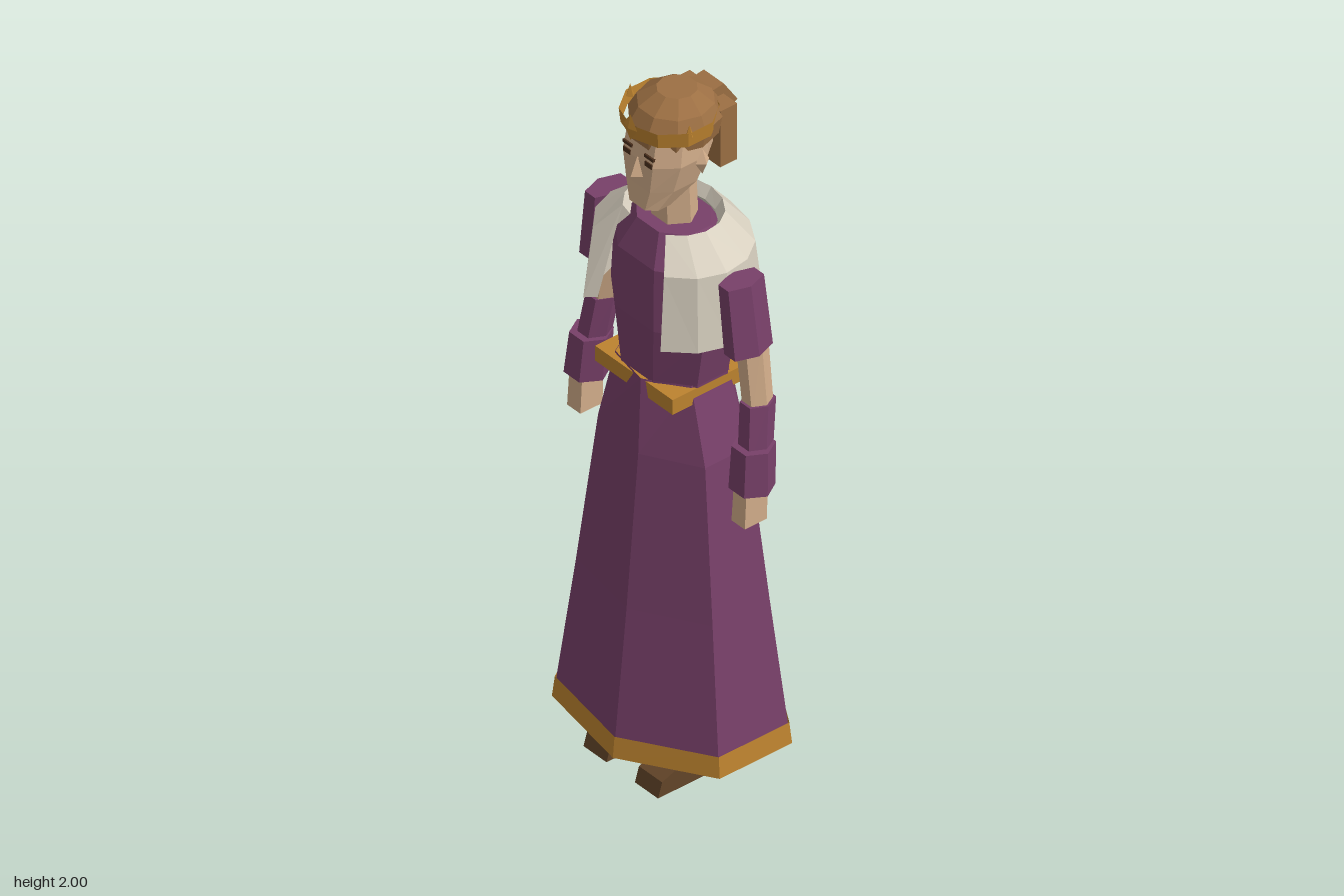
import * as THREE from 'three';

const paint = (name, color, side = THREE.FrontSide) => {
  const m = new THREE.MeshStandardMaterial({ color, flatShading: true, side });
  m.name = name;
  return m;
};

export function createModel() {
  const model = new THREE.Group();
  model.name = 'robedFigure';
  const purple = paint('purple cloth', 0x784069, THREE.DoubleSide);
  const gold = paint('gold', 0xbd832f, THREE.DoubleSide);
  const fur = paint('pale fur', 0xd8d0c0);
  const skin = paint('skin', 0xd2ad8a);
  const hairMat = paint('brown hair', 0x9c6f43);
  const leather = paint('dark leather', 0x634529);
  const dark = paint('dark brown', 0x4a2f1d);

  const add = (name, geo, mat, x = 0, y = 0, z = 0) => {
    const mesh = new THREE.Mesh(geo, mat);
    mesh.name = name;
    mesh.position.set(x, y, z);
    model.add(mesh);
    return mesh;
  };

  // Joins closed loops of points into a faceted skin, with optional end caps
  const skinRows = (rows, caps) => {
    const pos = [];
    const tri = (...pts) => pts.forEach((p) => pos.push(...p));
    const n = rows[0].length;
    for (let i = 0; i < rows.length - 1; i++) {
      for (let j = 0; j < n; j++) {
        const k = (j + 1) % n, a = rows[i], b = rows[i + 1];
        tri(a[j], a[k], b[k]);
        tri(a[j], b[k], b[j]);
      }
    }
    if (caps) {
      const a = rows[0], b = rows[rows.length - 1];
      for (let j = 1; j < n - 1; j++) {
        tri(a[0], a[j + 1], a[j]);
        tri(b[0], b[j], b[j + 1]);
      }
    }
    const g = new THREE.BufferGeometry();
    g.setAttribute('position', new THREE.Float32BufferAttribute(pos, 3));
    g.computeVertexNormals();
    return g;
  };

  // Rings are [y, rx, rz, cx, cz], bottom to top; angles run from +z toward +x
  const even = (n, off = 0) => Array.from({ length: n }, (_, i) => off + (360 / n) * i);
  const loft = (rings, angles, caps = true) => skinRows(rings.map(([y, rx, rz, cx = 0, cz = 0]) =>
    angles.map((d) => {
      const a = THREE.MathUtils.degToRad(d);
      return [cx + rx * Math.sin(a), y, cz + rz * Math.cos(a)];
    })), caps);

  // Side profile in [z, y], given a width across x
  const sideProfile = (pts, width) => {
    const g = new THREE.ExtrudeGeometry(new THREE.Shape(pts.map((p) => new THREE.Vector2(...p))),
      { depth: width, bevelEnabled: false });
    g.translate(0, 0, -width / 2);
    g.rotateY(-Math.PI / 2);
    return g;
  };

  // Seven-sided skirt, open below, with a gold hem
  const seven = even(7, -90);
  add('skirt', loft([[0.13, 0.343, 0.264], [0.55, 0.284, 0.21], [0.99, 0.224, 0.16], [1.2, 0.153, 0.138]], seven, false), purple);
  add('hem', loft([[0.13, 0.347, 0.267], [0.19, 0.339, 0.26]], seven, false), gold);

  // Bodice and the square belt whose corners break through the skirt
  add('bodice', loft([[1.1, 0.155, 0.125], [1.2, 0.16, 0.128], [1.36, 0.192, 0.138],
    [1.54, 0.18, 0.132], [1.625, 0.11, 0.09]], even(8, 22.5)), purple);
  add('belt', new THREE.BoxGeometry(0.295, 0.045, 0.256), gold, 0, 1.172, 0);

  // Fur cape, open at the front
  const section = [[1.645, 0.135, 0.12], [1.57, 0.222, 0.183], [1.36, 0.242, 0.21],
    [1.36, 0.205, 0.175], [1.55, 0.188, 0.155], [1.615, 0.118, 0.1]];
  const capeRows = [];
  for (let i = 0; i <= 12; i++) {
    const a = THREE.MathUtils.degToRad(37.5 + (285 / 12) * i);
    capeRows.push(section.map(([y, rx, rz]) => [rx * Math.sin(a), y, rz * Math.cos(a)]));
  }
  add('furCape', skinRows(capeRows, true), fur);

  // Neck and head
  add('neck', loft([[1.58, 0.064, 0.058, 0, -0.003], [1.76, 0.058, 0.054, 0, 0]], even(6, 30)), skin);
  const faceAngles = [-32, 32, 68, 112, 148, 212, 248, 292];
  add('head', loft([[1.7, 0.056, 0.05, 0, 0.075], [1.76, 0.085, 0.1, 0, 0.03],
    [1.84, 0.107, 0.115, 0, 0.018], [1.92, 0.102, 0.11, 0, 0.008]], faceAngles), skin);
  add('nose', loft([[1.795, 0.022, 0.027, 0, 0.112], [1.845, 0.004, 0.006, 0, 0.112]], even(4)), skin);

  // Hair cap, back hair and bun
  add('hairCap', loft([[1.88, 0.108, 0.116, 0, -0.002], [1.93, 0.117, 0.122, 0, -0.004],
    [1.968, 0.098, 0.1, 0, -0.006], [2, 0.052, 0.052, 0, -0.01]], even(10, 18)), hairMat);
  add('backHair', new THREE.BoxGeometry(0.18, 0.17, 0.054), hairMat, 0, 1.86, -0.1);
  add('bun', sideProfile([[-0.09, 1.89], [-0.125, 1.885], [-0.172, 1.908], [-0.128, 1.975], [-0.09, 1.97]], 0.076), hairMat);

  // Crown band with a front jewel plate and small side points
  add('crownBand', loft([[1.91, 0.122, 0.118, 0, 0.015], [1.953, 0.126, 0.123, 0, 0.015]], even(10, 0), false), gold);
  add('crownJewel', new THREE.OctahedronGeometry(1), gold, 0, 1.947, 0.139).scale.set(0.026, 0.039, 0.008);

  for (const s of [1, -1]) {
    const side = s > 0 ? 'left' : 'right';
    const limb = (name, rings, mat, angles = even(6, 30)) =>
      add(side + name, loft(rings.map(([y, rx, rz, cx, cz]) => [y, rx, rz, s * cx, cz]), angles), mat);

    add(side + 'CrownPoint', new THREE.ConeGeometry(0.012, 0.035, 4), gold, s * 0.113, 1.955, 0.045);
    add(side + 'Eye', new THREE.BoxGeometry(0.026, 0.014, 0.008), dark, s * 0.041, 1.843, 0.113);
    add(side + 'Brow', new THREE.BoxGeometry(0.034, 0.009, 0.009), dark, s * 0.041, 1.864, 0.111);
    add(side + 'Ear', new THREE.OctahedronGeometry(1), skin, s * 0.099, 1.83, -0.008).scale.set(0.017, 0.038, 0.022);

    // Arm: puffed upper sleeve, bare elbow, lower sleeve, cuff and hand
    limb('UpperSleeve', [[1.36, 0.042, 0.07, 0.276, -0.007], [1.56, 0.038, 0.066, 0.254, -0.002]], purple);
    limb('Elbow', [[1.18, 0.036, 0.04, 0.296, -0.022], [1.4, 0.04, 0.042, 0.264, -0.025]], skin);
    limb('LowerSleeve', [[1.04, 0.042, 0.045, 0.312, 0.003], [1.21, 0.04, 0.048, 0.294, -0.022]], purple);
    limb('Cuff', [[0.975, 0.06, 0.058, 0.314, 0.014], [1.095, 0.055, 0.056, 0.309, 0.004]], purple);
    limb('Hand', [[0.875, 0.036, 0.05, 0.313, 0.022], [1.0, 0.034, 0.048, 0.313, 0.016]], skin, even(4, 45));

    // Leg and boot
    limb('Leg', [[0.08, 0.05, 0.052, 0.098, -0.007], [0.85, 0.06, 0.06, 0.09, 0]], skin, even(6, 30));
    add(side + 'Boot', sideProfile([[-0.04, 0], [0.17, 0], [0.157, 0.043], [0.005, 0.1], [-0.04, 0.1]], 0.088), leather, s * 0.098);
  }
  return model;
}
